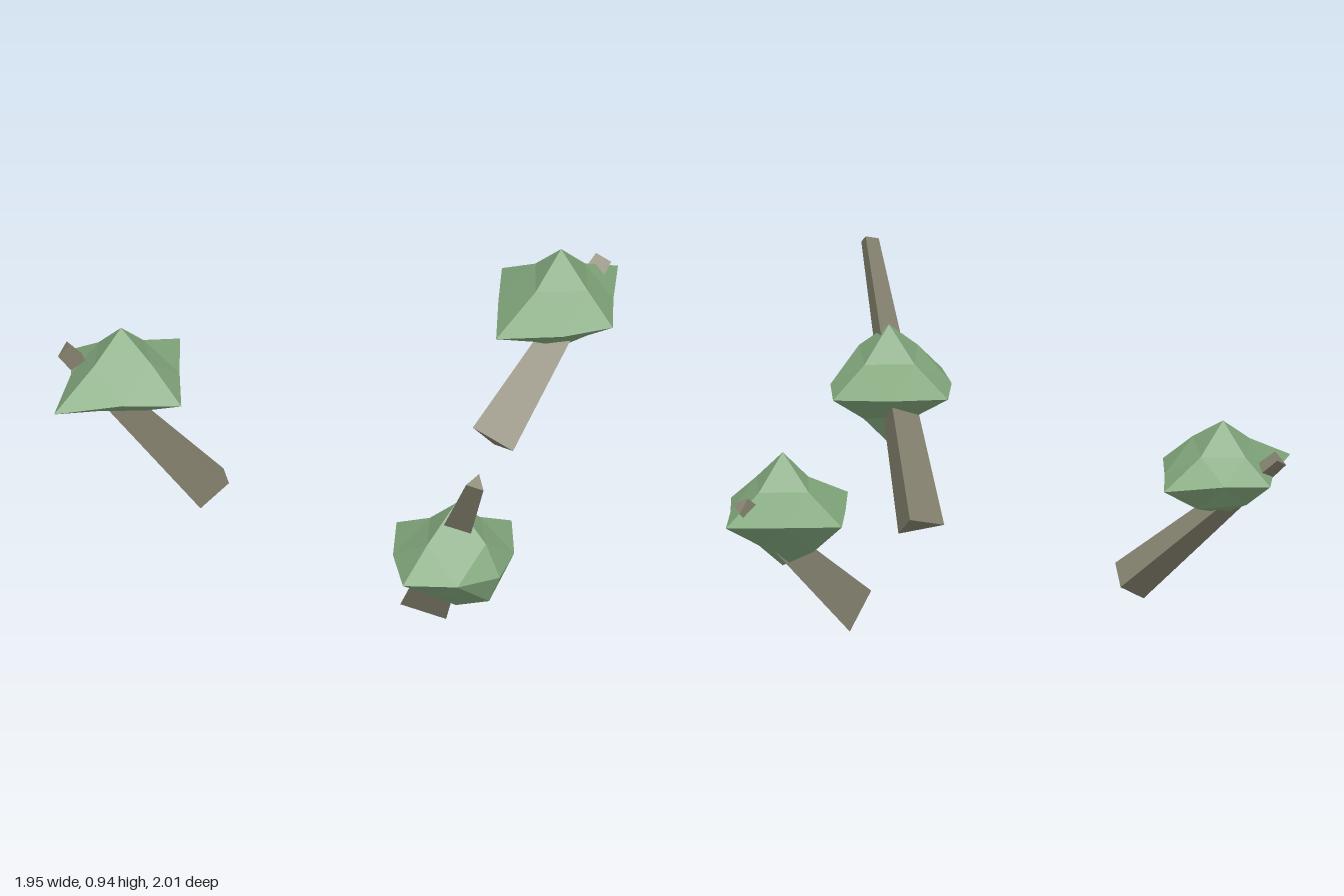
import * as THREE from 'three';
import { ConvexGeometry } from 'three/addons/geometries/ConvexGeometry.js';

const V = (a) => new THREE.Vector3(...a);
const green = new THREE.MeshStandardMaterial({ color: 0x81a67b, flatShading: true });
const bark = new THREE.MeshStandardMaterial({ color: 0x85826f, flatShading: true });

// Signs of x, y, z for the 6 tips and 12 mid-edge points of a crown
const KEYS = ['1,0,0', '-1,0,0', '0,1,0', '0,-1,0', '0,0,1', '0,0,-1',
  '1,1,0', '-1,1,0', '-1,-1,0', '1,-1,0',
  '0,1,1', '0,1,-1', '0,-1,-1', '0,-1,1',
  '1,0,1', '-1,0,1', '-1,0,-1', '1,0,-1'];
const FLATTEN = 0.77;

// center: crown middle; reach: offset along each axis, in KEYS order
// base: three trunk corners on the ground end; tip: middle of the trunk's thin end
const TREES = [
  {
    center: [0.69, 0.475, 0],
    reach: [0.28, 0.32, 0.272, 0.247, 0.24, 0.275,
      0.118, 0.125, 0.135, 0.12, 0.125, 0.12, 0.145, 0.118, 0.125, 0.155, 0.15, 0.14],
    base: [[0.305, 0.122, -0.047], [0.36, 0.062, 0.088], [0.41, 0, -0.047]],
    tip: [0.9, 0.542, 0],
  },
  {
    center: [-0.65, 0.475, -0.78],
    reach: [0.29, 0.33, 0.247, 0.175, 0.28, 0.22,
      0.11, 0.13, 0.12, 0.125, 0.14, 0.105, 0.11, 0.12, 0.14, 0.135, 0.12, 0.11],
    base: [[-0.5, 0.122, -0.42], [-0.405, 0.08, -0.535], [-0.55, 0.003, -0.505]],
    tip: [-0.743, 0.545, -0.955],
  },
  {
    center: [-0.65, 0.475, 0.775],
    reach: [0.275, 0.26, 0.272, 0.272, 0.205, 0.275,
      0.12, 0.14, 0.13, 0.125, 0.14, 0.12, 0.12, 0.155, 0.14, 0.14, 0.15, 0.15],
    base: [[-0.41, 0.113, 0.45], [-0.565, 0.065, 0.437], [-0.48, 0.025, 0.57]],
    tip: [-0.763, 0.92, 0.977],
  },
];

// Faceted crown: a once-divided octahedron with uneven points
function crown({ center, reach }) {
  const geo = new THREE.OctahedronGeometry(1, 1);
  const p = geo.attributes.position;
  const sign = (v) => (Math.abs(v) < 0.1 ? 0 : Math.sign(v));
  for (let i = 0; i < p.count; i++) {
    const s = [sign(p.getX(i)), sign(p.getY(i)), sign(p.getZ(i))];
    const r = reach[KEYS.indexOf(s.join(','))];
    p.setXYZ(i, s[0] * r, s[1] * r * FLATTEN, s[2] * r);
  }
  geo.computeVertexNormals();
  const mesh = new THREE.Mesh(geo, green);
  mesh.name = 'foliage';
  mesh.position.set(...center);
  return mesh;
}

// Leaning three-sided trunk, tapering from base to tip
function trunk({ base, tip }) {
  const low = base.map(V);
  const mid = low.reduce((sum, v) => sum.add(v), V([0, 0, 0])).divideScalar(3);
  const high = low.map((v) => v.clone().sub(mid).multiplyScalar(0.38).add(V(tip)));
  const mesh = new THREE.Mesh(new ConvexGeometry([...low, ...high]), bark);
  mesh.name = 'trunk';
  return mesh;
}

export function createModel() {
  const model = new THREE.Group();
  model.name = 'leaningTrees';
  for (const spec of TREES) {
    const tree = new THREE.Group();
    tree.name = 'tree';
    tree.add(trunk(spec), crown(spec));
    model.add(tree);
  }
  return model;
}
